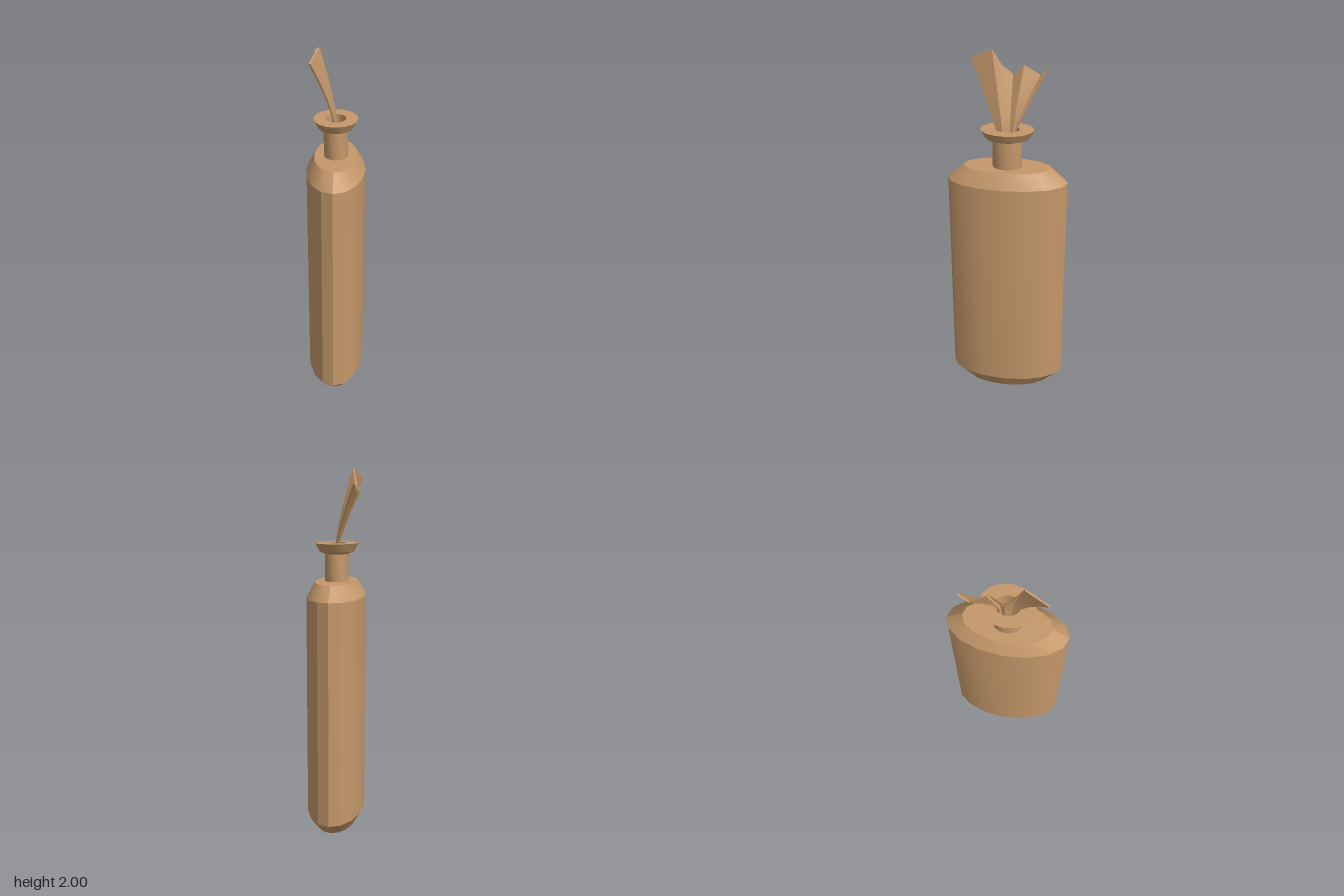
import * as THREE from 'three';
import { toCreasedNormals } from 'three/addons/utils/BufferGeometryUtils.js';

const material = new THREE.MeshStandardMaterial({ color: 0xc4986a });

function addMesh(group, name, geometry, crease) {
  const mesh = new THREE.Mesh(toCreasedNormals(geometry, crease), material);
  mesh.name = name;
  group.add(mesh);
}

// Sixteen-sided oval turning: profile radii run along z, x is squeezed.
function ovalLathe(profile, xScale) {
  const points = profile.map(([r, y]) => new THREE.Vector2(r, y));
  return new THREE.LatheGeometry(points, 16).scale(xScale, 1, 1);
}

// Closed thin sheet from rows of [x, y, z] points, thickened along x.
function thinSheet(rows, thickness) {
  const cols = rows[0].length;
  const count = rows.length * cols;
  const positions = [];
  const index = [];
  for (const offset of [0, -thickness]) {
    for (const row of rows) for (const [x, y, z] of row) positions.push(x + offset, y, z);
  }
  const quad = (a, b, c, d) => index.push(a, b, c, a, c, d);
  for (let r = 0; r < rows.length - 1; r++) {
    for (let c = 0; c < cols - 1; c++) {
      const a = r * cols + c, b = a + 1, d = a + cols, e = d + 1;
      quad(a, b, e, d);
      quad(a + count, d + count, e + count, b + count);
    }
  }
  // Rim walls
  const rim = (a, b) => quad(a, a + count, b + count, b);
  const last = (rows.length - 1) * cols;
  for (let c = 0; c < cols - 1; c++) {
    rim(c, c + 1);
    rim(last + c + 1, last + c);
  }
  for (let r = 0; r < rows.length - 1; r++) {
    rim((r + 1) * cols, r * cols);
    rim(r * cols + cols - 1, (r + 2) * cols - 1);
  }
  const geometry = new THREE.BufferGeometry();
  geometry.setAttribute('position', new THREE.Float32BufferAttribute(positions, 3));
  geometry.setIndex(index);
  geometry.computeVertexNormals();
  return geometry;
}

export function createModel() {
  const group = new THREE.Group();

  // Flat oval bottle with bevelled base and shoulder
  addMesh(group, 'bottleBody', ovalLathe([
    [0, 0], [0.24, 0], [0.33, 0.08], [0.33, 1.315], [0.24, 1.395], [0, 1.395],
  ], 0.49), 0.5);

  // Neck, flared lip and hollow mouth
  addMesh(group, 'neckAndLip', ovalLathe([
    [0.08, 1.39], [0.08, 1.545], [0.118, 1.558], [0.145, 1.603],
    [0.067, 1.603], [0.067, 1.45], [0, 1.45],
  ], 0.82), 0.5);

  // Pleated rag: each fold has a point at the mouth and one at the free edge
  const folds = [
    { foot: [0.0, 1.6, 0.063], tip: [-0.112, 1.95, 0.21] },
    { foot: [0.01, 1.6, 0.026], tip: [-0.076, 2.0, 0.092] },
    { foot: [0.002, 1.6, 0.008], tip: [-0.096, 1.915, 0.045] },
    { foot: [-0.01, 1.6, -0.012], tip: [-0.118, 1.865, -0.012] },
    { foot: [-0.004, 1.6, -0.03], tip: [-0.1, 1.92, -0.073] },
    { foot: [-0.014, 1.6, -0.04], tip: [-0.119, 1.865, -0.155] },
    { foot: [-0.01, 1.6, -0.05], tip: [-0.112, 1.915, -0.208] },
  ];
  // The sheet leans outward more and more towards its free edge
  const rows = [0, 0.35, 0.68, 1].map((t) => folds.map(({ foot, tip }) => {
    const lean = t * (0.65 + 0.35 * t);
    return [
      foot[0] + (tip[0] - foot[0]) * lean,
      foot[1] + (tip[1] - foot[1]) * t,
      foot[2] + (tip[2] - foot[2]) * (0.85 * t + 0.15 * t * t),
    ];
  }));
  // Gathered end hidden in the neck
  rows.unshift(folds.map(({ foot }) => [foot[0] * 0.9, 1.46, foot[2] * 0.75]));
  addMesh(group, 'rag', thinSheet(rows, 0.01), 0.45);

  return group;
}
